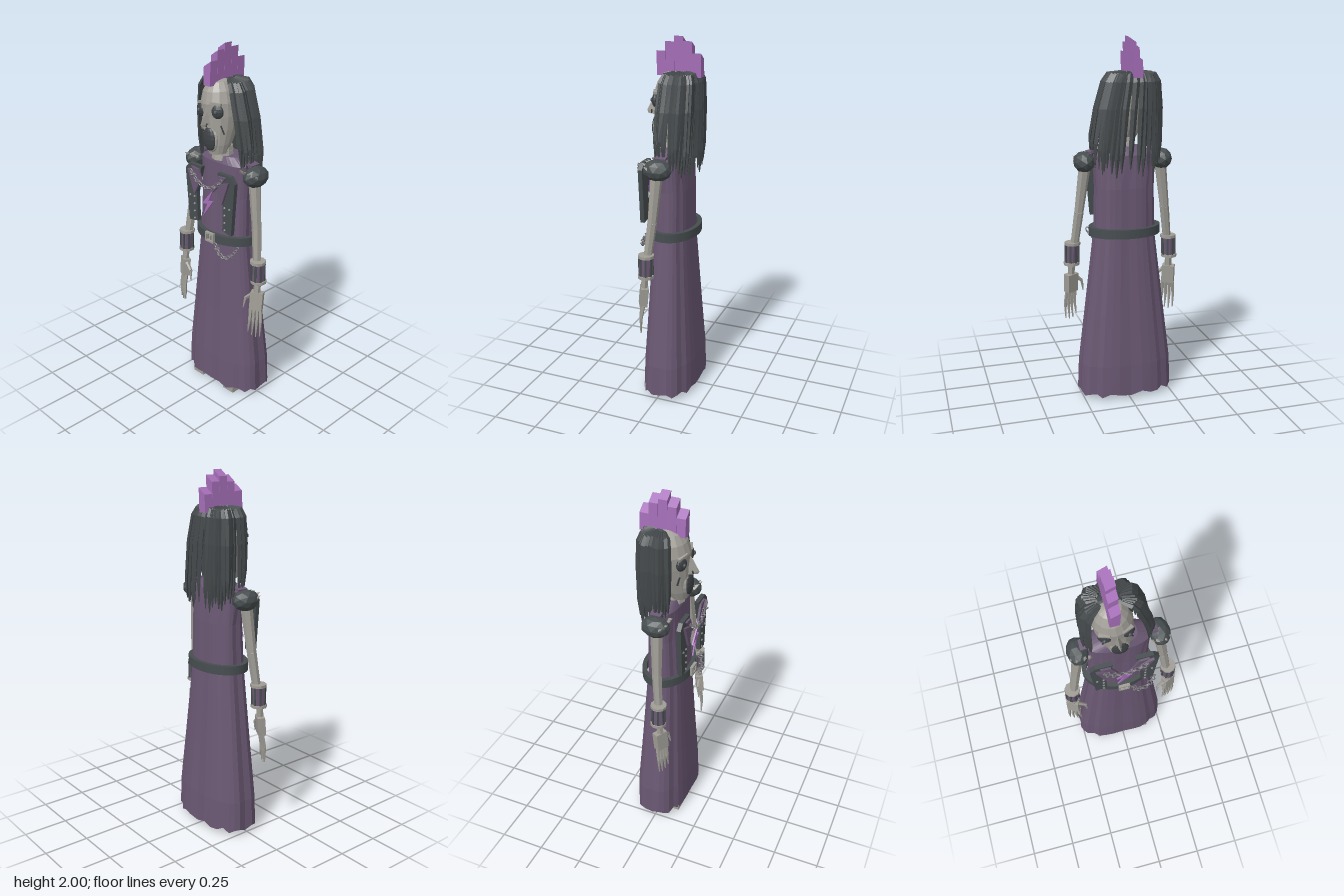
import * as THREE from 'three';

const mat = (name, color, side = THREE.FrontSide) => {
  const m = new THREE.MeshStandardMaterial({ color, side });
  m.name = name;
  return m;
};
const V = (x, y, z) => new THREE.Vector3(x, y, z);

export function createModel() {
  const robe = mat('robe purple', 0x6a5873, THREE.DoubleSide);
  const bright = mat('bright purple', 0xa56fb8);
  const bone = mat('bone', 0xa09d96);
  const hair = mat('hair charcoal', 0x44494b);
  const leather = mat('leather', 0x474e50);
  const hollow = mat('hollow dark', 0x3f4346);
  const metal = mat('dull metal', 0x77777a);
  const model = new THREE.Group();

  // Faceted mesh with one normal per face
  const add = (parent, name, geo, material, p = [0, 0, 0], r = [0, 0, 0], s = [1, 1, 1]) => {
    const g = geo.index ? geo.toNonIndexed() : geo;
    g.computeVertexNormals();
    const m = new THREE.Mesh(g, material);
    m.name = name;
    m.position.set(...p);
    m.rotation.set(...r);
    m.scale.set(...s);
    parent.add(m);
    return m;
  };
  const group = (name, parent = model) => {
    const g = new THREE.Group();
    g.name = name;
    parent.add(g);
    return g;
  };
  // Skin between rings listed from bottom to top
  const loft = (rings, capBottom = true, capTop = true) => {
    const n = rings[0].length, pos = rings.flat().flatMap(v => [v.x, v.y, v.z]), idx = [];
    for (let i = 0; i < rings.length - 1; i++) for (let j = 0; j < n; j++) {
      const a = i * n + j, b = i * n + (j + 1) % n;
      idx.push(a, b, b + n, a, b + n, a + n);
    }
    const top = (rings.length - 1) * n;
    for (let j = 1; j < n - 1; j++) {
      if (capBottom) idx.push(0, j + 1, j);
      if (capTop) idx.push(top, top + j, top + j + 1);
    }
    const g = new THREE.BufferGeometry();
    g.setAttribute('position', new THREE.Float32BufferAttribute(pos, 3));
    g.setIndex(idx);
    return g;
  };
  // Tapered bar between two points
  const bar = (parent, name, a, b, ra, rb, material, sides = 6) => {
    const d = b.clone().sub(a);
    const m = add(parent, name, new THREE.CylinderGeometry(rb, ra, d.length(), sides), material);
    m.position.copy(a).addScaledVector(d, 0.5);
    m.quaternion.setFromUnitVectors(V(0, 1, 0), d.normalize());
    return m;
  };
  const plate = (pts, depth) => new THREE.ExtrudeGeometry(
    new THREE.Shape(pts.map(p => new THREE.Vector2(...p))), { depth, bevelEnabled: false });
  const chain = (name, pts, n) => {
    const g = group(name), c = new THREE.QuadraticBezierCurve3(...pts);
    for (let i = 0; i <= n; i++) {
      const p = c.getPointAt(i / n), t = c.getTangentAt(i / n);
      add(g, 'link', new THREE.TorusGeometry(0.012, 0.0035, 4, 8), metal, p.toArray(),
        [i % 2 ? Math.PI / 2 : 0, 0, Math.atan2(t.y, t.x)], [1.15, 0.75, 1]);
    }
  };

  // Pleated robe: height, half width, front z, back z
  const N = 32;
  const robeRings = [[0.03, 0.265, 0.132, -0.165], [0.2, 0.258, 0.127, -0.16], [0.5, 0.222, 0.11, -0.138],
    [0.95, 0.168, 0.088, -0.108], [1.2, 0.163, 0.075, -0.104], [1.38, 0.172, 0.07, -0.092],
    [1.42, 0.1, 0.055, -0.07]].map(([y, rx, f, b], i) =>
    Array.from({ length: N }, (_, j) => {
      const a = j / N * Math.PI * 2, c = Math.cos(a), s = Math.sin(a);
      const pleat = 1 + (j % 4 === 0 ? -0.035 : 0.012) * (i < 5 ? 1 : 0);
      return V(Math.sign(s) * Math.abs(s) ** 0.85 * rx * pleat,
        y + (i === 0 ? 0.012 * Math.sin(j * 2.3) : 0),
        (f + b) / 2 + Math.sign(c) * Math.abs(c) ** 0.75 * (f - b) / 2 * pleat);
    }));
  add(model, 'robe', loft(robeRings, false, true), robe);

  // Feet and shins
  for (const s of [-1, 1]) {
    const foot = group(s > 0 ? 'leftFoot' : 'rightFoot');
    add(foot, 'sole', new THREE.BoxGeometry(0.08, 0.035, 0.145), bone, [s * 0.125, 0.0175, 0.043]);
    add(foot, 'instep', new THREE.BoxGeometry(0.055, 0.03, 0.09), bone, [s * 0.12, 0.045, 0.03]);
    bar(foot, 'shin', V(s * 0.115, 0.04, 0), V(s * 0.1, 0.3, 0), 0.025, 0.025, bone);
  }

  // Belt ring with buckle and hip chain
  const oval = new THREE.Shape().absellipse(0, 0, 0.2, 0.137, 0, Math.PI * 2);
  oval.holes.push(new THREE.Path().absellipse(0, 0, 0.175, 0.113, 0, Math.PI * 2));
  add(model, 'belt', new THREE.ExtrudeGeometry(oval, { depth: 0.05, bevelEnabled: false, curveSegments: 28 }),
    leather, [-0.003, 0.935, -0.012], [-Math.PI / 2, 0, 0]);
  const buckle = group('buckle');
  for (const s of [-1, 1]) {
    add(buckle, 'buckleSide', new THREE.BoxGeometry(0.011, 0.055, 0.016), bone, [s * 0.026, 0.962, 0.13]);
    add(buckle, 'buckleBar', new THREE.BoxGeometry(0.06, 0.011, 0.016), bone, [0, 0.962 + s * 0.022, 0.13]);
  }
  add(buckle, 'prong', new THREE.BoxGeometry(0.012, 0.02, 0.016), bone, [0, 0.962, 0.128]);
  chain('hipChain', [V(0.05, 0.93, 0.132), V(0.12, 0.82, 0.15), V(0.18, 0.94, 0.1)], 10);

  // Vest panels, lapels and studs
  for (const s of [-1, 1]) {
    const vest = group(s > 0 ? 'leftVest' : 'rightVest');
    const m = pts => pts.map(([x, y]) => [x * s, y]);
    add(vest, 'panel', plate(m([[0.16, 1.02], [0.185, 1.32], [0.155, 1.355], [0.06, 1.355],
      [0.1, 1.2], [0.095, 1.03]]), 0.024), leather, [0, 0, 0.105]);
    add(vest, 'lapel', plate(m([[0.155, 1.325], [0.105, 1.19], [0.068, 1.26], [0.088, 1.3]]), 0.014), robe, [0, 0, 0.13]);
    add(vest, 'collarPoint', plate(m([[0.13, 1.345], [0.095, 1.305], [0.035, 1.24], [0.075, 1.34]]), 0.012), robe, [0, 0, 0.128]);
    for (let i = 0; i < 4; i++) for (const x of i ? [0.115] : [0.115, 0.15])
      add(vest, 'stud', new THREE.IcosahedronGeometry(0.008, 0), metal, [s * x, 1.17 - i * 0.043, 0.131]);
  }
  add(model, 'boltEmblem', plate([[0.04, 1.255], [-0.045, 1.155], [-0.005, 1.162], [-0.04, 1.08],
    [0.038, 1.185], [0.005, 1.182]], 0.008), bright, [0, 0, 0.135]);
  chain('necklace', [V(-0.11, 1.325, 0.155), V(0, 1.2, 0.158), V(0.11, 1.325, 0.155)], 12);

  // Arms with shoulder pads, spikes, cuffs and hands
  for (const s of [-1, 1]) {
    const arm = group(s > 0 ? 'leftArm' : 'rightArm');
    const P = (x, y, z) => V(s * x, y, z);
    add(arm, 'shoulderPad', new THREE.IcosahedronGeometry(1, 1), leather, [s * 0.218, 1.342, 0.004],
      [0, 0, 0], [0.058, 0.058, 0.08]);
    for (const [x, y, z] of [[0.195, 1.375, 0.07], [0.235, 1.372, 0.07], [0.262, 1.36, 0.05], [0.17, 1.375, 0.07]])
      add(arm, 'spike', new THREE.ConeGeometry(0.011, 0.03, 5), bone, [s * x, y, z], [0.9, 0, -s * 0.3]);
    add(arm, 'shoulderTab', new THREE.BoxGeometry(0.06, 0.012, 0.06), robe, [s * 0.175, 1.4, -0.005], [0, 0, -s * 0.2]);
    bar(arm, 'upperArm', P(0.247, 1.06, 0.022), P(0.213, 1.33, 0.008), 0.026, 0.034, bone, 7);
    add(arm, 'elbow', new THREE.IcosahedronGeometry(0.027, 0), bone, [s * 0.247, 1.06, 0.022]);
    bar(arm, 'forearm', P(0.284, 0.76, 0.05), P(0.247, 1.06, 0.022), 0.021, 0.027, bone, 7);
    bar(arm, 'cuff', P(0.285, 0.77, 0.047), P(0.28, 0.88, 0.04), 0.038, 0.038, robe, 10);
    for (const [y, x] of [[0.768, 0.286], [0.882, 0.28]])
      add(arm, 'cuffRing', new THREE.CylinderGeometry(0.044, 0.044, 0.016, 10), bone, [s * x, y, 0.044]);
    for (let i = 0; i < 8; i++) {
      const a = i * Math.PI / 4 + 0.35;
      add(arm, 'cuffStrap', new THREE.BoxGeometry(0.011, 0.1, 0.006), leather,
        [s * 0.283 + Math.sin(a) * 0.038, 0.825, 0.044 + Math.cos(a) * 0.038], [0, a, 0]);
    }
    bar(arm, 'wrist', P(0.287, 0.68, 0.056), P(0.285, 0.77, 0.049), 0.02, 0.019, bone);
    add(arm, 'palm', new THREE.BoxGeometry(0.07, 0.105, 0.042), bone, [s * 0.288, 0.652, 0.057], [-0.1, s * 0.5, 0]);
    for (let i = 0; i < 4; i++) {
      const u = i / 3, base = P(0.262 + u * 0.05, 0.605, 0.075 - u * 0.025);
      const mid = P(0.264 + u * 0.058, 0.53, 0.085 - u * 0.025);
      const tip = P(0.254 + u * 0.066, 0.48 - 0.05 * Math.sin(0.6 + u * 1.6), 0.088 - u * 0.025);
      bar(arm, 'finger', mid, base, 0.0095, 0.0115, bone, 5);
      bar(arm, 'fingerTip', tip, mid, 0.003, 0.0095, bone, 5);
    }
    bar(arm, 'thumb', P(0.222, 0.65, 0.075), P(0.262, 0.685, 0.068), 0.009, 0.012, bone, 5);
    bar(arm, 'thumbTip', P(0.213, 0.59, 0.085), P(0.222, 0.65, 0.075), 0.003, 0.009, bone, 5);
  }

  // Neck
  for (let i = 0; i < 3; i++)
    add(model, 'neckRing', new THREE.CylinderGeometry(0.055, 0.06, 0.022, 9), bone, [-0.01, 1.405 + i * 0.026, 0.02]);

  // Skull, slightly tilted
  const head = group('head');
  head.position.set(-0.012, 1.43, 0);
  head.rotation.z = 0.09;
  const skull = [[0, 0.052, 0.1, 0.0], [0.05, 0.07, 0.11, -0.03], [0.13, 0.09, 0.112, -0.07], [0.2, 0.102, 0.112, -0.09],
    [0.27, 0.102, 0.117, -0.1], [0.33, 0.087, 0.1, -0.09], [0.375, 0.058, 0.07, -0.06], [0.39, 0.02, 0.03, -0.02]]
    .map(([y, rx, f, b]) => Array.from({ length: 16 }, (_, j) => {
      const a = j / 16 * Math.PI * 2;
      return V(Math.sin(a) * rx, y, (f + b) / 2 + Math.cos(a) * (f - b) / 2);
    }));
  add(head, 'skull', loft(skull), bone);
  for (const s of [-1, 1]) {
    add(head, 'eyeSocket', new THREE.SphereGeometry(1, 12, 8), hollow, [s * 0.06, 0.232, 0.093], [0, s * 0.4, 0], [0.034, 0.037, 0.018]);
    add(head, 'eyeball', new THREE.SphereGeometry(0.013, 8, 6), leather, [s * 0.062, 0.232, 0.107]);
    add(head, 'browRidge', new THREE.BoxGeometry(0.06, 0.012, 0.02), bone, [s * 0.055, 0.274, 0.097], [0, s * 0.4, -s * 0.15]);
    add(head, 'cheekCrack', new THREE.BoxGeometry(0.008, 0.05, 0.006), hollow, [s * 0.072, 0.135, 0.078], [0, s * 0.8, s * 0.3]);
    add(head, 'nostril', new THREE.BoxGeometry(0.006, 0.02, 0.006), hollow, [s * 0.012, 0.165, 0.132], [0, s * 0.5, -s * 0.25]);
  }
  add(head, 'nose', loft([
    [V(-0.02, 0.15, 0.1), V(0, 0.152, 0.155), V(0.02, 0.15, 0.1)],
    [V(-0.017, 0.17, 0.1), V(0, 0.17, 0.163), V(0.017, 0.17, 0.1)],
    [V(-0.008, 0.25, 0.1), V(0, 0.25, 0.122), V(0.008, 0.25, 0.1)]]), bone);
  add(head, 'lips', new THREE.SphereGeometry(1, 14, 8), bone, [0, 0.085, 0.099], [0, 0, 0], [0.053, 0.073, 0.018]);
  add(head, 'mouth', new THREE.SphereGeometry(1, 14, 8), hollow, [0, 0.085, 0.107], [0, 0, 0], [0.045, 0.064, 0.018]);

  // Hair cap and hanging strands around sides and back
  const hairGroup = group('hair');
  add(hairGroup, 'hairCap', new THREE.SphereGeometry(1, 14, 6, 0, Math.PI * 2, 0, Math.PI / 2), hair,
    [-0.035, 1.7, -0.03], [0, 0, 0], [0.115, 0.12, 0.1]);
  const strands = 31, up = V(0, 1, 0);
  for (let i = 0; i < strands; i++) {
    const u = i / (strands - 1), a = 0.9 + u * (Math.PI * 2 - 1.8);
    const s = Math.sin(a), c = Math.cos(a), back = (1 - c) / 2;
    const sx = Math.sign(s) * Math.abs(s) ** 0.7, cz = Math.sign(c) * Math.abs(c) ** 0.7;
    const n = V(s, 0, c), t = V(c, 0, -s), wob = Math.sin(i * 4.7);
    const tipY = 1.4 - 0.11 * back + 0.025 * wob;
    // Each row: x centre, x radius, z radius, y, strand half width, tilt of the outer face
    const rings = [[0.0, 0.178, 0.102, tipY, 0.003, 0], [-0.003, 0.178, 0.105, tipY + 0.1, 0.014, 0],
      [-0.018, 0.165, 0.106, 1.63, 0.019, 0], [-0.033, 0.14, 0.1, 1.765, 0.018, 0.5],
      [-0.036, 0.115, 0.086, 1.805, 0.016, 1.1], [-0.038, 0.06, 0.04, 1.815, 0.01, 1.5]]
      .map(([cx, rx, rz, y, w, tilt]) => {
        const o = n.clone().multiplyScalar(Math.cos(tilt)).addScaledVector(up, Math.sin(tilt));
        const p = V(cx + sx * (rx + wob * 0.008), y, -0.03 + cz * (rz + wob * 0.006));
        return [[0, 0.8], [1, 0], [0, -0.8], [-1, 0]].map(([k, d]) =>
          p.clone().addScaledVector(t, k * w).addScaledVector(o, d * Math.min(w, 0.014)));
      });
    add(hairGroup, 'strand', loft(rings), hair);
  }

  // Stepped crest with slanted tops
  const crest = group('crest');
  [1.915, 1.965, 1.995, 1.97, 1.91].forEach((top, i) => {
    const z = 0.077 - i * 0.0495, w = 0.0245;
    const ring = (x, y, rise) => [[-1, -1], [-1, 1], [1, 1], [1, -1]].map(([a, b]) =>
      V(x + a * w, y + rise * a, z + b * 0.0243));
    add(crest, 'crestBlock', loft([ring(-0.043, 1.79, 0), ring(-0.043 + (top - 1.79) * 0.04, top - 0.012, 0.016)]), bright);
  });
  return model;
}
